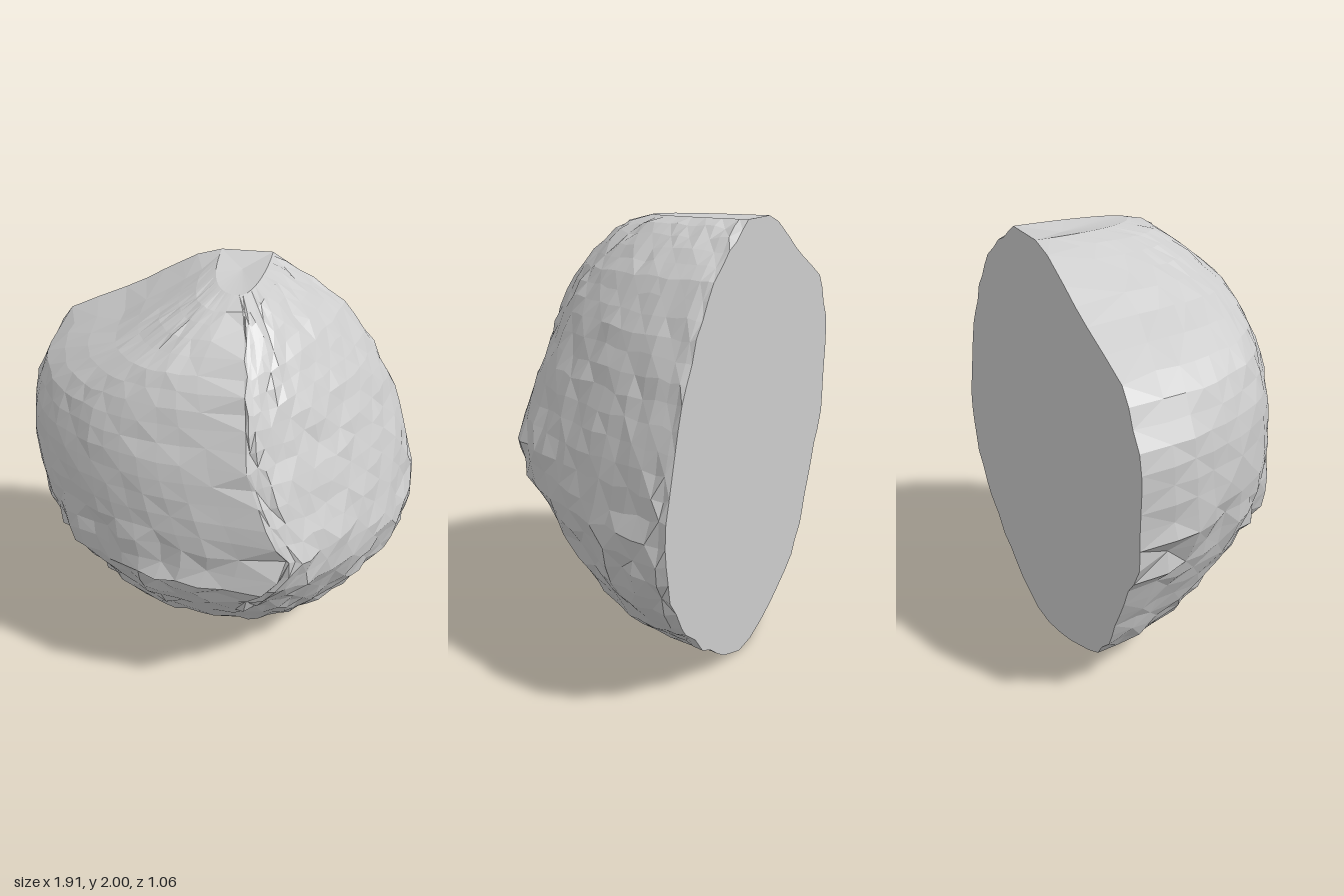
import * as THREE from 'three';

const BACK = -0.52, ROWS = 30, COLS = 38;

// Level sections: y, left x, right x, front z, ridge x, left and right roundness
const SECTIONS = [
  [0.00, 0.02, 0.16, -0.46, 0.10, 2.0, 2.0],
  [0.05, -0.21, 0.31, -0.30, 0.08, 2.1, 2.0],
  [0.20, -0.52, 0.55, 0.00, 0.08, 2.2, 1.9],
  [0.36, -0.67, 0.76, 0.20, 0.10, 2.3, 1.8],
  [0.55, -0.76, 0.89, 0.35, 0.14, 2.4, 1.7],
  [0.70, -0.81, 0.95, 0.45, 0.18, 2.5, 1.6],
  [0.82, -0.88, 0.95, 0.53, 0.28, 2.6, 1.5],
  [0.97, -0.94, 0.92, 0.52, 0.40, 2.7, 1.4],
  [1.20, -0.96, 0.86, 0.50, 0.28, 2.6, 1.4],
  [1.40, -0.95, 0.78, 0.46, 0.20, 2.6, 1.4],
  [1.60, -0.85, 0.67, 0.39, 0.18, 2.8, 1.4],
  [1.70, -0.66, 0.59, 0.34, 0.17, 3.4, 1.4],
  [1.78, -0.47, 0.52, 0.29, 0.16, 4.3, 1.4],
  [1.90, -0.25, 0.35, 0.17, 0.14, 4.5, 1.6],
  [1.97, -0.12, 0.24, 0.07, 0.12, 4.0, 1.8],
  [2.00, -0.06, 0.18, -0.03, 0.09, 2.5, 2.0],
];

function sectionAt(y) {
  let k = 0;
  while (k < SECTIONS.length - 2 && SECTIONS[k + 1][0] < y) k++;
  const a = SECTIONS[k], b = SECTIONS[k + 1];
  const f = (y - a[0]) / (b[0] - a[0]);
  return a.map((v, i) => v + (b[i] - v) * f);
}

// Small seeded random, -1 to 1
function makeRandom(seed) {
  return () => {
    seed = (seed * 16807) % 2147483647;
    return (seed / 2147483647) * 2 - 1;
  };
}

// Rings of points from the right edge round the front to the left edge
function makeRings() {
  const random = makeRandom(71);
  const rings = [];
  for (let i = 0; i <= ROWS; i++) {
    // rows lie closer together at the foot and the crown
    const u = i / ROWS;
    const y = 2 * (0.45 * u + 0.55 * (1 - Math.cos(Math.PI * u)) / 2);
    const [, left, right, front, ridge, nL, nR] = sectionAt(y);
    const isEnd = i === 0 || i === ROWS;
    const ring = [];
    for (let j = 0; j <= COLS; j++) {
      const t = (Math.PI * j) / COLS;
      const c = Math.cos(t), s = Math.max(0, Math.sin(t));
      const power = 2 / (c > 0 ? nR : nL);
      const reach = c > 0 ? right - ridge : left - ridge;
      // broken stone low down and on the right, smoother on the upper left
      const rough = isEnd ? 0 : y < 0.2 ? 0.008 : y < 1.05 ? 0.02 : c > 0 ? 0.014 : 0.006;
      const swell = 1 + rough * (random() - 0.1);
      const onBack = j === 0 || j === COLS;
      // thin raised lip along the upper left of the cut
      const lip = j === COLS && y > 1.62 && !isEnd ? 0.05 : 0;
      const x = ridge + reach * Math.pow(Math.abs(c), power) * swell - lip;
      const z = onBack ? BACK : BACK + (front - BACK) * Math.pow(s, power) * swell;
      ring.push([x, y + rough * random() * 0.7, z]);
    }
    rings.push(ring);
  }
  return rings;
}

function meshFromTriangles(name, triangles) {
  const geometry = new THREE.BufferGeometry();
  geometry.setAttribute('position', new THREE.Float32BufferAttribute(triangles.flat(2), 3));
  geometry.computeVertexNormals();
  const mesh = new THREE.Mesh(geometry,
    new THREE.MeshStandardMaterial({ color: 0xcccccc, flatShading: true }));
  mesh.name = name;
  return mesh;
}

export function createModel() {
  const group = new THREE.Group();
  group.name = 'boulder';
  const rings = makeRings();
  const shell = [], back = [];

  for (let i = 0; i < ROWS; i++) {
    const lo = rings[i], hi = rings[i + 1];
    // Rounded rock face, with alternating diagonals
    for (let j = 0; j < COLS; j++) {
      const a = lo[j], b = lo[j + 1], c = hi[j + 1], d = hi[j];
      if ((i + j) % 2) shell.push([a, d, c], [a, c, b]);
      else shell.push([a, d, b], [d, c, b]);
    }
    // Flat cut back
    back.push([lo[0], lo[COLS], hi[COLS]], [lo[0], hi[COLS], hi[0]]);
  }

  // Crown and foot
  const top = rings[ROWS], foot = rings[0];
  const crown = [0.06, 1.98, -0.35], base = [0.1, 0, -0.51];
  for (let j = 0; j < COLS; j++) {
    shell.push([crown, top[j + 1], top[j]], [base, foot[j], foot[j + 1]]);
  }
  shell.push([crown, top[0], top[COLS]], [base, foot[COLS], foot[0]]);

  group.add(meshFromTriangles('rockFace', shell), meshFromTriangles('cutBack', back));
  return group;
}
